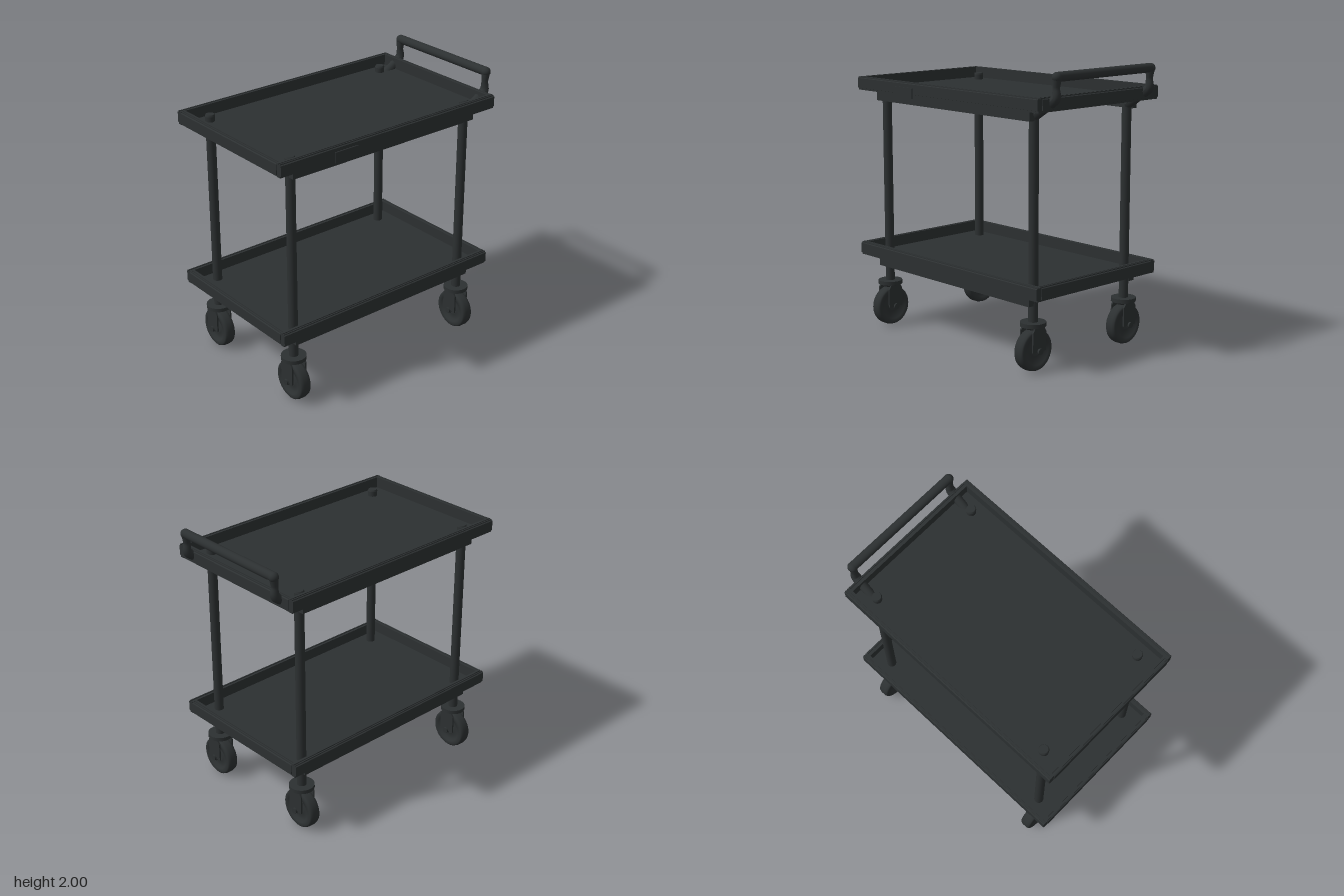
import * as THREE from 'three';

const mat = new THREE.MeshStandardMaterial({ color: 0x2c3031, side: THREE.DoubleSide });
const POSTS_X = [-0.79, 0.72], POST_Z = 0.445;
const X0 = -0.965, X1 = 0.89, HALF_Z = 0.577, MID_X = (X0 + X1) / 2;

function add(parent, name, geo, x = 0, y = 0, z = 0) {
  const m = new THREE.Mesh(geo, mat);
  m.name = name;
  m.position.set(x, y, z);
  parent.add(m);
  return m;
}
const box = (p, name, w, h, d, x, y, z) => add(p, name, new THREE.BoxGeometry(w, h, d), x, y, z);
const cyl = (p, name, r0, r1, h, x, y, z) => add(p, name, new THREE.CylinderGeometry(r0, r1, h, 24), x, y, z);

// Wall section: u runs outwards, v upwards; banded outside, grooved on top
function wallGeometry(length) {
  const pts = [[0, 0], [0.034, 0], [0.034, 0.012], [0.042, 0.014], [0.042, 0.084], [0.034, 0.088], [0.034, 0.095],
    [0.025, 0.095], [0.025, 0.088], [0.017, 0.088], [0.017, 0.095], [0, 0.095]];
  const shape = new THREE.Shape(pts.map(([u, v]) => new THREE.Vector2(u, v)));
  const g = new THREE.ExtrudeGeometry(shape, { depth: length, bevelEnabled: false });
  return g.translate(0, 0, -length / 2);
}

function tray(name, y) {
  const g = new THREE.Group();
  g.name = name;
  g.position.y = y;
  box(g, 'trayFloor', X1 - X0 - 0.06, 0.012, 2 * HALF_Z - 0.06, MID_X, 0.01, 0);
  for (const s of [1, -1]) {
    const side = add(g, 'longWall', wallGeometry(X1 - X0 - 0.01), MID_X, 0, s * (HALF_Z - 0.042));
    side.rotation.y = -s * Math.PI / 2;
    const end = add(g, 'endWall', wallGeometry(2 * HALF_Z - 0.084), s > 0 ? X1 - 0.042 : X0 + 0.042, 0, 0);
    end.rotation.y = s > 0 ? 0 : Math.PI;
    // Support rail beside the posts
    box(g, 'supportRail', 1.57, 0.07, 0.045, -0.035, -0.035, s * 0.492);
  }
  return g;
}

function caster(x, z) {
  const g = new THREE.Group();
  g.name = 'caster';
  g.position.set(x, 0, z);
  cyl(g, 'swivelPlate', 0.088, 0.088, 0.028, 0, 0.326, 0);
  cyl(g, 'swivelBearing', 0.07, 0.06, 0.016, 0, 0.304, 0);
  // Tyre with rounded shoulders and dished sides
  const profile = [[0, -0.02], [0.035, -0.02], [0.04, -0.03], [0.045, -0.02], [0.09, -0.02], [0.1, -0.042], [0.128, -0.042],
    [0.138, -0.035], [0.143, -0.018], [0.143, 0.018], [0.138, 0.035], [0.128, 0.042], [0.1, 0.042], [0.09, 0.02],
    [0.045, 0.02], [0.04, 0.03], [0.035, 0.02], [0, 0.02]].map(([r, h]) => new THREE.Vector2(r, h));
  const wheel = add(g, 'wheel', new THREE.LatheGeometry(profile, 40), 0, 0.147, 0);
  wheel.rotation.z = Math.PI / 2;
  // Fork cheeks and axle
  const cheek = new THREE.Shape();
  cheek.moveTo(-0.04, 0.31).lineTo(0.04, 0.31).lineTo(0.06, 0.28).lineTo(0.06, 0.145).lineTo(0.025, 0.145)
    .lineTo(0.015, 0.127).lineTo(-0.015, 0.127).lineTo(-0.025, 0.145).lineTo(-0.06, 0.145).lineTo(-0.06, 0.28);
  for (const s of [-1, 1]) {
    const geo = new THREE.ExtrudeGeometry(cheek, { depth: 0.012, bevelEnabled: false }).translate(0, 0, -0.006);
    add(g, 'forkCheek', geo, s * 0.057, 0, 0).rotation.y = Math.PI / 2;
    cyl(g, 'axleNut', 0.021, 0.021, 0.014, s * 0.069, 0.147, 0).rotation.z = Math.PI / 2;
  }
  cyl(g, 'axle', 0.012, 0.012, 0.14, 0, 0.147, 0).rotation.z = Math.PI / 2;
  box(g, 'forkBridge', 0.126, 0.01, 0.08, 0, 0.302, 0);
  return g;
}

// Bent arm whose thickness varies along its path
function armGeometry() {
  const path = new THREE.CatmullRomCurve3([[0.72, 1.7], [0.8, 1.75], [0.88, 1.8], [0.917, 1.835], [0.918, 1.9], [0.925, 1.968]]
    .map(([x, y]) => new THREE.Vector3(x, y, 0)));
  const radii = [0.033, 0.033, 0.032, 0.034, 0.023, 0.032], n = 30, k = 14;
  const g = new THREE.TubeGeometry(path, n, 1, k, false);
  const p = g.attributes.position, v = new THREE.Vector3();
  for (let i = 0; i <= n; i++) {
    const c = path.getPointAt(i / n), t = (i / n) * 5, a = Math.min(4, Math.floor(t));
    const r = THREE.MathUtils.lerp(radii[a], radii[a + 1], t - a);
    for (let j = 0; j <= k; j++) {
      const id = i * (k + 1) + j;
      v.fromBufferAttribute(p, id).sub(c).multiplyScalar(r).add(c);
      p.setXYZ(id, v.x, v.y, v.z);
    }
  }
  g.computeVertexNormals();
  return g;
}

export function createModel() {
  const cart = new THREE.Group();
  cart.name = 'serviceCart';
  cart.add(tray('topTray', 1.745), tray('lowerTray', 0.525));

  // Posts with caps, and casters below
  for (const x of POSTS_X) for (const s of [-1, 1]) {
    const z = s * POST_Z;
    cyl(cart, 'post', 0.033, 0.033, 1.46, x, 1.07, z);
    cyl(cart, 'postCap', 0.03, 0.035, 0.012, x, 1.804, z);
    cart.add(caster(x, z));
  }

  // Push handle
  const handle = new THREE.Group();
  handle.name = 'pushHandle';
  for (const s of [-1, 1]) {
    add(handle, 'handleArm', armGeometry(), 0, 0, s * POST_Z);
    add(handle, 'handleElbow', new THREE.SphereGeometry(0.034, 20, 14), 0.925, 1.966, s * POST_Z);
  }
  cyl(handle, 'handleGrip', 0.032, 0.032, 2 * POST_Z, 0.925, 1.968, 0).rotation.x = Math.PI / 2;
  cart.add(handle);

  // Small plate on the front wall of the top tray
  box(cart, 'frontPlate', 0.195, 0.075, 0.008, -0.437, 1.767, 0.581);
  return cart;
}
